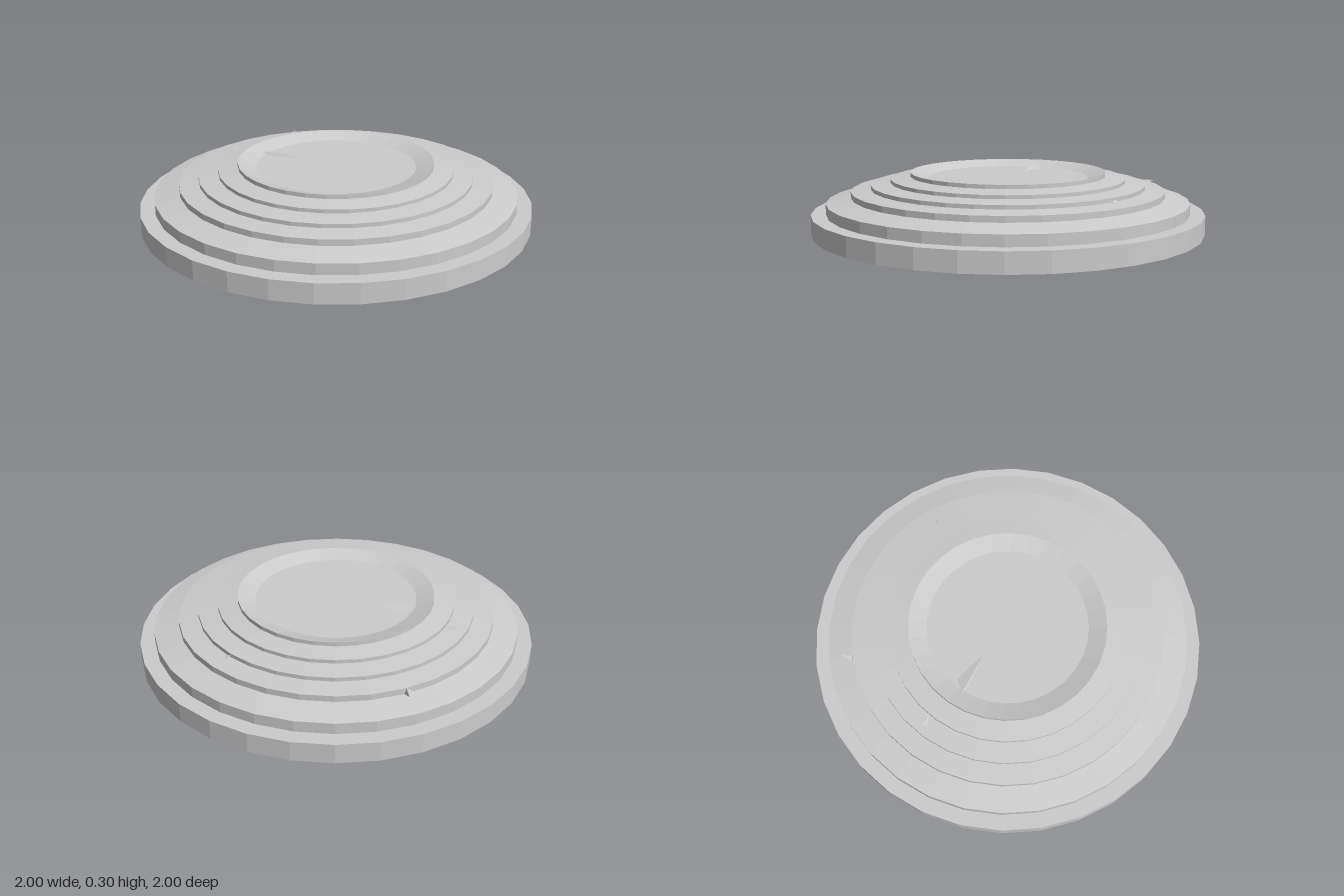
import * as THREE from 'three';
import { ConvexGeometry } from 'three/addons/geometries/ConvexGeometry.js';

const SIDES = 32;
const material = new THREE.MeshStandardMaterial({ color: 0xcccccc, flatShading: true });

// Revolved part; radii are measured to the flat faces, which face the axes.
function ring(name, profile) {
  const k = 1 / Math.cos(Math.PI / SIDES);
  const points = profile.map(([r, y]) => new THREE.Vector2(r * k, y));
  const mesh = new THREE.Mesh(new THREE.LatheGeometry(points, SIDES), material);
  mesh.rotation.y = Math.PI / SIDES;
  mesh.name = name;
  return mesh;
}

// Small splinter spanning a few corner points.
function splinter(name, corners) {
  const points = corners.map(c => new THREE.Vector3(...c));
  const mesh = new THREE.Mesh(new ConvexGeometry(points), material);
  mesh.name = name;
  return mesh;
}

export function createModel() {
  const model = new THREE.Group();
  model.name = 'steppedDisc';

  // Hollow underside and foot rim
  model.add(ring('underside', [[0, 0.09], [0.91, 0.09], [0.91, 0], [1, 0]]));
  model.add(ring('footRim', [[1, 0], [1, 0.1], [0.925, 0.1]]));

  // Steps: radius, foot height, edge height; each top slopes gently up to the next
  const steps = [
    [0.925, 0.1, 0.155],
    [0.8, 0.18, 0.21],
    [0.7, 0.22, 0.24],
    [0.6, 0.25, 0.268],
    [0.5, 0.28, 0.3],
  ];
  steps.forEach(([r, foot, edge], i) => {
    const profile = [[r, foot], [r, edge]];
    const next = steps[i + 1];
    if (next) profile.push([next[0], next[1]]);
    model.add(ring('step' + (i + 1), profile));
  });

  // Shallow basin in the top
  model.add(ring('basin', [[0.5, 0.3], [0.41, 0.27], [0, 0.27]]));

  // Chipped splinters on the basin wall and the step edges
  model.add(splinter('basinSplinter',
    [[-0.35, 0.285, -0.25], [-0.26, 0.268, -0.27], [-0.32, 0.268, -0.22], [-0.15, 0.272, -0.13]]));
  model.add(splinter('backSplinter',
    [[-0.12, 0.19, -0.8], [-0.08, 0.18, -0.8], [-0.09, 0.21, -0.8], [-0.08, 0.205, -0.86]]));
  model.add(splinter('innerSplinter',
    [[-0.49, 0.25, -0.45], [-0.46, 0.25, -0.46], [-0.4, 0.25, -0.39], [-0.46, 0.235, -0.36]]));
  model.add(splinter('sideSplinter',
    [[0.65, 0.215, -0.35], [0.59, 0.235, -0.25], [0.6, 0.235, -0.34], [0.62, 0.215, -0.3]]));

  return model;
}
